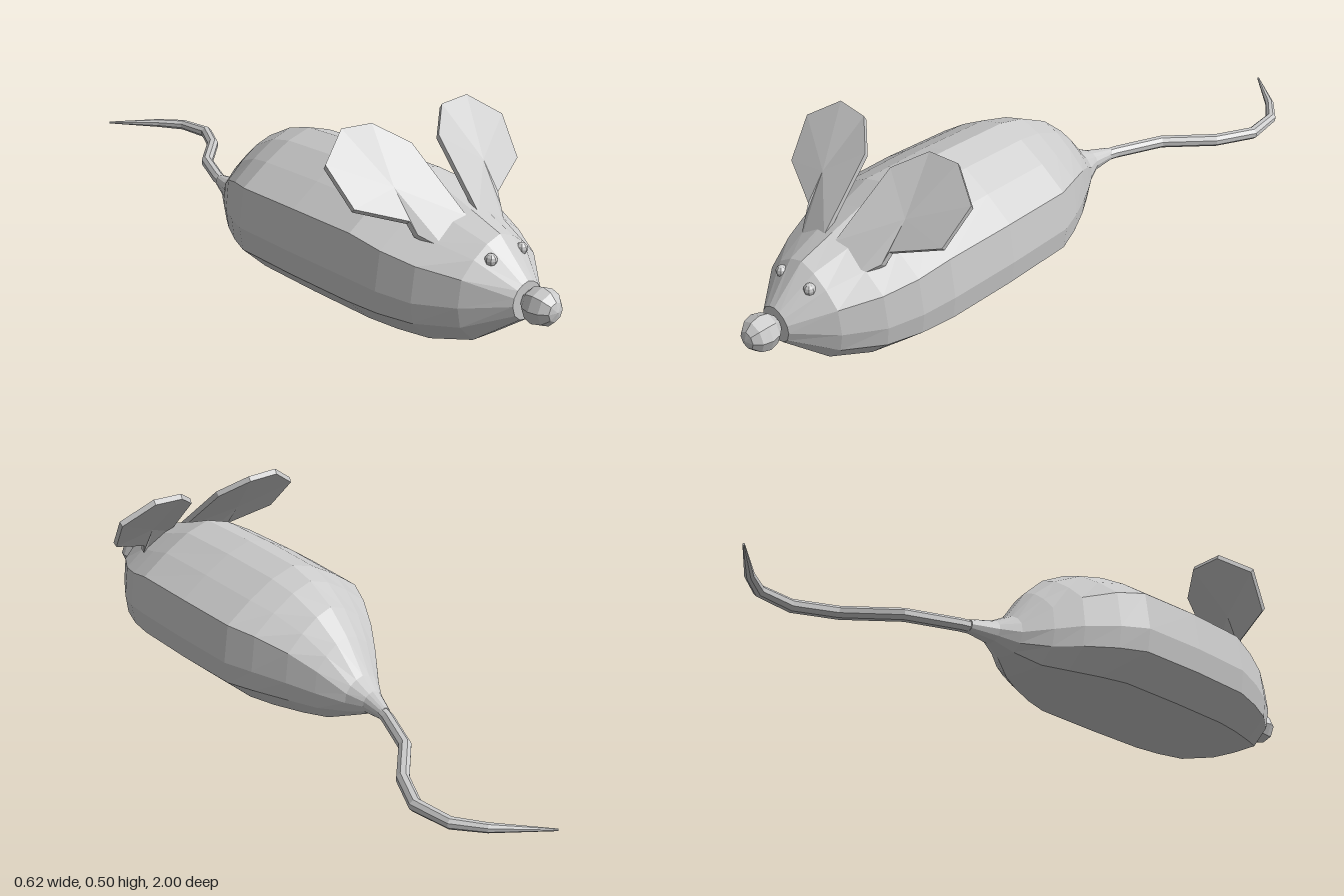
import * as THREE from 'three';

const material = new THREE.MeshStandardMaterial({ color: 0xcccccc, flatShading: true });

function addMesh(parent, name, geometry) {
  const mesh = new THREE.Mesh(geometry, material);
  mesh.name = name;
  parent.add(mesh);
  return mesh;
}

// Joins closed rings of Vector3 (clockwise seen from the first ring's end) and caps both ends
function loft(rings) {
  const n = rings[0].length;
  const pos = [];
  const tri = (...pts) => pts.forEach((p) => pos.push(p.x, p.y, p.z));
  const centre = (ring) => ring.reduce((s, p) => s.add(p), new THREE.Vector3()).divideScalar(n);
  const first = rings[0], last = rings[rings.length - 1];
  const c0 = centre(first), c1 = centre(last);
  for (let j = 0; j < n; j++) {
    const k = (j + 1) % n;
    for (let i = 0; i < rings.length - 1; i++) {
      const a = rings[i], b = rings[i + 1];
      tri(a[j], a[k], b[j]);
      tri(a[k], b[k], b[j]);
    }
    tri(c0, first[k], first[j]);
    tri(c1, last[j], last[k]);
  }
  const geometry = new THREE.BufferGeometry();
  geometry.setAttribute('position', new THREE.Float32BufferAttribute(pos, 3));
  geometry.computeVertexNormals();
  return geometry;
}

// Half cross-sections [x, y] from top to bottom: flat-bottomed trunk and round ends
const TRUNK = [[0, 1], [0.3, 0.94], [0.62, 0.82], [0.94, 0.67], [1, 0.37], [0.96, 0.19], [0.64, 0], [0, 0]];
const ROUND = [[0, 1], [0.38, 0.95], [0.7, 0.85], [0.93, 0.68], [1, 0.47], [0.82, 0.2], [0.42, 0.04], [0, 0]];

function bodyRing([z, halfWidth, bottom, top, round, shift = 0]) {
  const half = TRUNK.map(([x, y], i) => [
    THREE.MathUtils.lerp(x, ROUND[i][0], round) * halfWidth,
    bottom + THREE.MathUtils.lerp(y, ROUND[i][1], round) * (top - bottom),
  ]);
  const right = half.map(([x, y]) => new THREE.Vector3(x + shift, y, z));
  const left = half.slice(1, -1).reverse().map(([x, y]) => new THREE.Vector3(shift - x, y, z));
  return [...right, ...left];
}

// Body stations, nose to rump: z, half width, bottom, top, roundness, sideways shift
const BODY = [
  [0.905, 0.05, 0.088, 0.187, 1],
  [0.81, 0.137, 0.018, 0.278, 0.3],
  [0.71, 0.195, 0.002, 0.312, 0],
  [0.62, 0.228, 0, 0.342, 0],
  [0.53, 0.247, 0, 0.375, 0],
  [0.32, 0.25, 0, 0.375, 0],
  [0.11, 0.243, 0, 0.366, 0],
  [0.03, 0.208, 0, 0.345, 0],
  [-0.06, 0.158, 0, 0.298, 0.1],
  [-0.13, 0.112, 0.002, 0.235, 0.3],
  [-0.2, 0.062, 0.026, 0.142, 0.8],
  [-0.25, 0.034, 0.05, 0.115, 1, 0.006],
  [-0.32, 0.018, 0.064, 0.1, 1, 0.022],
];

// Tail path: x, z, radius
const TAIL = [
  [0.008, -0.26, 0.018], [0.03, -0.34, 0.018], [0.092, -0.48, 0.018], [0.205, -0.6, 0.018],
  [0.262, -0.71, 0.018], [0.25, -0.82, 0.016], [0.195, -0.89, 0.013], [0.073, -0.998, 0.003],
];

function tailRings() {
  return TAIL.map(([x, z, r], i) => {
    const a = TAIL[Math.max(i - 1, 0)], b = TAIL[Math.min(i + 1, TAIL.length - 1)];
    const side = new THREE.Vector3(a[1] - b[1], 0, b[0] - a[0]).normalize();
    return Array.from({ length: 8 }, (_, j) => {
      const t = (j / 8) * Math.PI * 2 + Math.PI / 8;
      return new THREE.Vector3(x, 0.081 + Math.cos(t) * r, z).addScaledVector(side, Math.sin(t) * r);
    });
  });
}

// Outline of one ear, from its inner root over the tip to the outer root
const EAR = [
  [0.02, 0.3, 0.72], [0.047, 0.45, 0.55], [0.122, 0.5, 0.485], [0.218, 0.505, 0.48], [0.308, 0.445, 0.525],
  [0.286, 0.35, 0.605], [0.155, 0.303, 0.66], [0.147, 0.272, 0.68], [0.105, 0.24, 0.735],
];

function earRings(side) {
  const front = EAR.map(([x, y, z]) => new THREE.Vector3(x * side, y, z));
  if (side < 0) front.reverse();
  const middle = new THREE.Vector3(0.16 * side, 0.4, 0.58);
  const back = front.map((p) => p.clone().lerp(middle, 0.02).add(new THREE.Vector3(0, -0.012, -0.01)));
  return [front, back];
}

export function createModel() {
  const mouse = new THREE.Group();
  mouse.name = 'mouse';

  addMesh(mouse, 'body', loft(BODY.map(bodyRing)));
  addMesh(mouse, 'tail', loft(tailRings()));

  // Nose with its pole facing forward
  const nose = addMesh(mouse, 'nose', new THREE.SphereGeometry(0.05, 8, 6).rotateX(Math.PI / 2));
  nose.position.set(0, 0.138, 0.95);

  for (const [label, side] of [['left', 1], ['right', -1]]) {
    addMesh(mouse, label + 'Ear', loft(earRings(side)));
    const eye = addMesh(mouse, label + 'Eye', new THREE.SphereGeometry(0.016, 8, 6));
    eye.position.set(0.054 * side, 0.233, 0.833);
  }
  return mouse;
}
